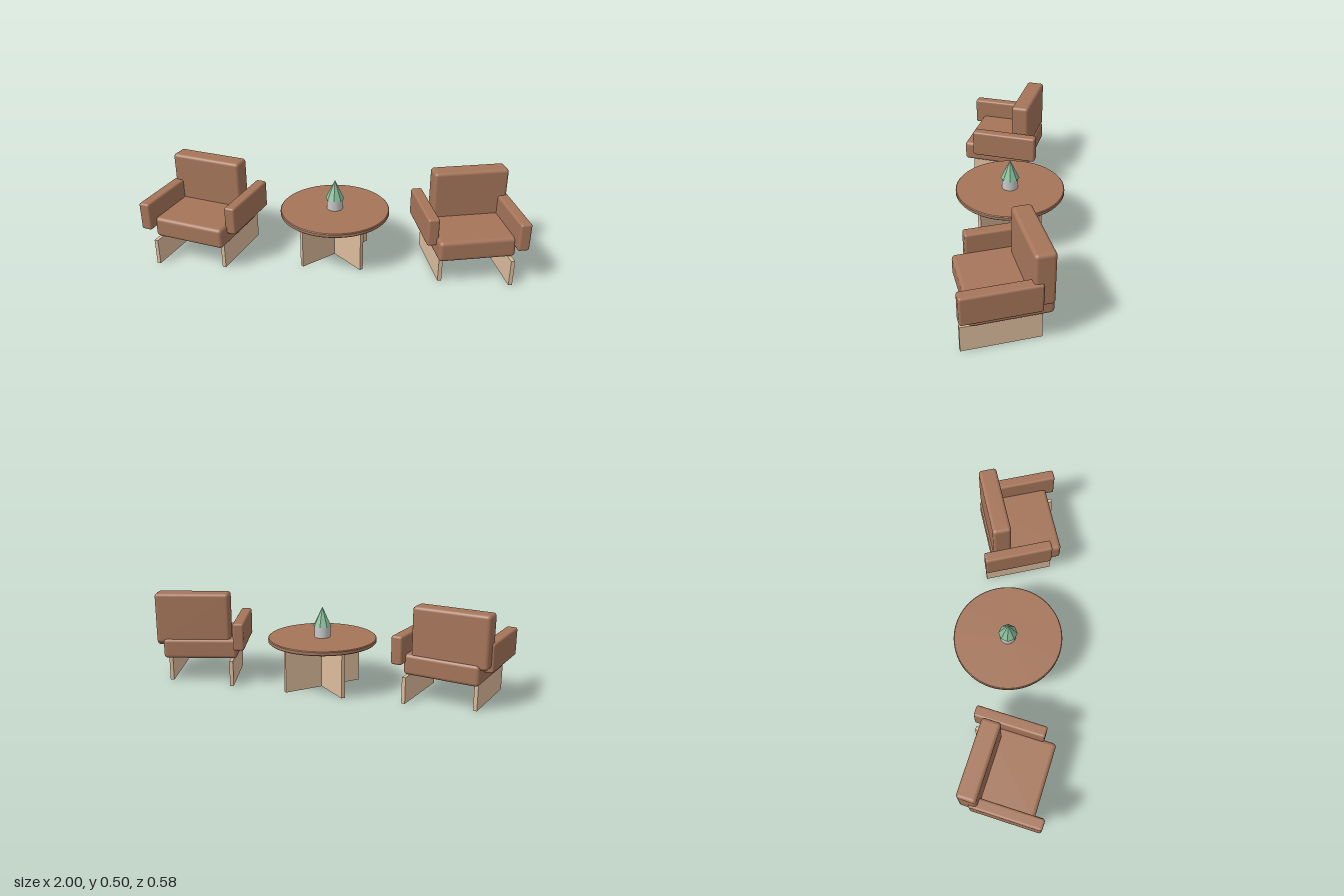
import * as THREE from 'three';
import { RoundedBoxGeometry } from 'three/addons/geometries/RoundedBoxGeometry.js';

const mat = (name, color) => {
  const m = new THREE.MeshStandardMaterial({ color });
  m.name = name;
  return m;
};

export function createModel() {
  const leather = mat('brown', 0xa5755a);
  const wood = mat('paleWood', 0xdcbc9c);
  const ceramic = mat('potGrey', 0xcccccc);
  const leaf = mat('leafGreen', 0x86bb98);
  leaf.flatShading = true;

  const model = new THREE.Group();
  model.name = 'loungeSet';

  const add = (parent, name, geometry, material, x, y, z, turn = 0) => {
    const mesh = new THREE.Mesh(geometry, material);
    mesh.name = name;
    mesh.position.set(x, y, z);
    mesh.rotation.y = turn;
    parent.add(mesh);
    return mesh;
  };

  // Armchairs: every part is turned about its own centre
  const seat = new RoundedBoxGeometry(0.4, 0.11, 0.39, 4, 0.02);
  const backrest = new RoundedBoxGeometry(0.4, 0.275, 0.1, 4, 0.018);
  const arm = new RoundedBoxGeometry(0.06, 0.15, 0.375, 4, 0.012);
  const leg = new THREE.BoxGeometry(0.02, 0.14, 0.38);
  for (const side of [-1, 1]) {
    const chair = new THREE.Group();
    chair.name = side > 0 ? 'leftArmchair' : 'rightArmchair';
    chair.position.x = 0.7 * side;
    model.add(chair);
    const turn = side * Math.PI / 12;
    add(chair, 'seat', seat, leather, 0, 0.195, 0.035, turn);
    add(chair, 'backrest', backrest, leather, 0, 0.3615, -0.105, turn);
    for (const s of [-1, 1]) {
      add(chair, 'armrest', arm, leather, 0.225 * s, 0.276, 0.035, turn);
      add(chair, 'legPanel', leg, wood, 0.18 * s, 0.07, 0.035, turn);
    }
  }

  // Round table on two crossed panels
  const table = new THREE.Group();
  table.name = 'table';
  model.add(table);
  const topProfile = [[0, 0.255], [0.286, 0.255], [0.286, 0.255], [0.29, 0.259], [0.29, 0.259],
    [0.29, 0.274], [0.29, 0.274], [0.286, 0.278], [0.286, 0.278], [0, 0.278]]
    .map(([r, y]) => new THREE.Vector2(r, y));
  add(table, 'tabletop', new THREE.LatheGeometry(topProfile, 64), leather, 0, 0, 0);
  const panel = new THREE.BoxGeometry(0.45, 0.256, 0.02);
  for (const s of [-1, 1]) add(table, 'basePanel', panel, wood, 0, 0.128, 0, s * Math.PI / 4);

  // Potted plant
  const plant = new THREE.Group();
  plant.name = 'pottedPlant';
  model.add(plant);
  add(plant, 'pot', new THREE.CylinderGeometry(0.044, 0.042, 0.06, 24), ceramic, 0, 0.307, 0);
  add(plant, 'foliage', new THREE.ConeGeometry(0.05, 0.105, 8), leaf, 0, 0.3885, 0);

  return model;
}
